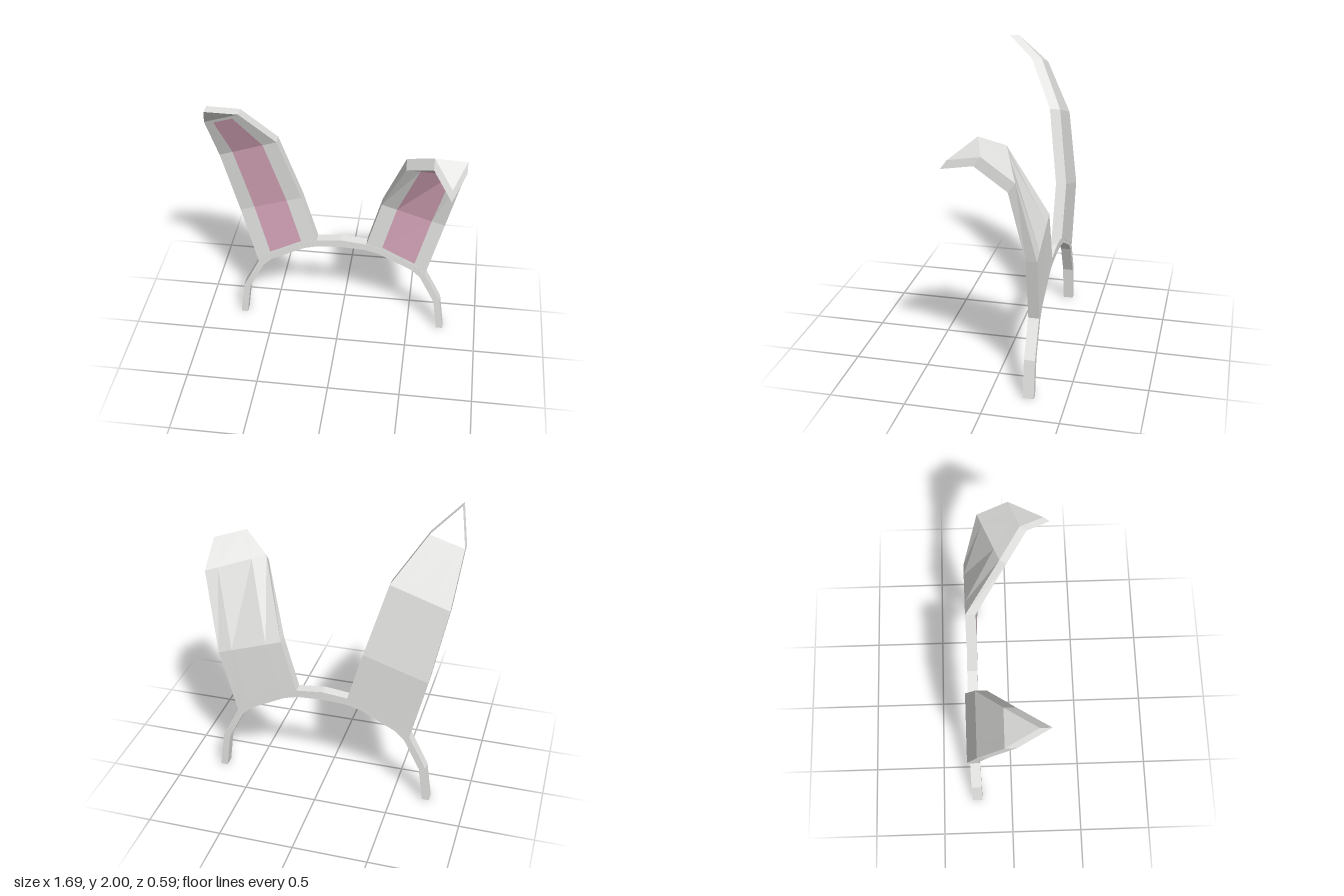
import * as THREE from 'three';

const fur = new THREE.MeshStandardMaterial({ color: 0xe4e4e2 });
fur.name = 'light grey';
const pink = new THREE.MeshStandardMaterial({ color: 0xd8a6bb });
pink.name = 'inner ear pink';
for (const m of [fur, pink]) m.flatShading = true;

// Ear: rows of [left front point, right front point, offset to the back]
function makeEar(name, rowData, columns) {
  const rows = rowData.map(([l, r, o]) => [l, r, o].map(p => new THREE.Vector3(...p)));
  // extra rows where the pink patch starts and stops
  const between = (a, b, u) => a.map((p, i) => p.clone().lerp(b[i], u));
  rows.splice(1, 0, between(rows[0], rows[1], 0.1));
  rows.splice(4, 0, between(rows[3], rows[4], 0.93));
  const front = rows.map(([l, r]) => columns.map(t => l.clone().lerp(r, t)));
  const back = rows.map(([, , o], i) => front[i].map(p => p.clone().add(o)));

  const furPoints = [], pinkPoints = [];
  const tri = (out, a, b, c) => {
    const area = b.clone().sub(a).cross(c.clone().sub(a)).length();
    if (area > 1e-7) out.push(...a.toArray(), ...b.toArray(), ...c.toArray());
  };
  const quad = (out, a, b, c, d) => { tri(out, a, b, c); tri(out, a, c, d); };

  const last = columns.length - 1, top = rows.length - 1;
  for (let i = 0; i < top; i++) {
    for (let j = 0; j < last; j++) {
      const isPink = j === 1 && i >= 1 && i <= 3;
      quad(isPink ? pinkPoints : furPoints,
        front[i][j], front[i][j + 1], front[i + 1][j + 1], front[i + 1][j]);
      quad(furPoints, back[i][j + 1], back[i][j], back[i + 1][j], back[i + 1][j + 1]);
    }
    // side walls
    quad(furPoints, back[i][0], front[i][0], front[i + 1][0], back[i + 1][0]);
    quad(furPoints, front[i][last], back[i][last], back[i + 1][last], front[i + 1][last]);
  }
  // underside
  quad(furPoints, back[0][0], back[0][last], front[0][last], front[0][0]);

  const geometry = new THREE.BufferGeometry();
  geometry.setAttribute('position', new THREE.Float32BufferAttribute([...furPoints, ...pinkPoints], 3));
  geometry.addGroup(0, furPoints.length / 3, 0);
  geometry.addGroup(furPoints.length / 3, pinkPoints.length / 3, 1);
  geometry.computeVertexNormals();
  const mesh = new THREE.Mesh(geometry, [fur, pink]);
  mesh.name = name;
  return mesh;
}

// Headband: arch outline with thickness along z
function makeBand() {
  const outer = [[0.76, 0], [0.725, 0.26], [0.605, 0.5], [0.53, 0.575], [0.285, 0.7], [0.18, 0.73]];
  const inner = [[0.712, 0], [0.68, 0.25], [0.57, 0.47], [0.508, 0.53], [0.265, 0.655], [0.17, 0.68]];
  const arch = (half, y) => [
    ...half.map(([x, h]) => new THREE.Vector2(x + 0.005, h)),
    new THREE.Vector2(0, y),
    ...half.map(([x, h]) => new THREE.Vector2(0.005 - x, h)).reverse(),
  ];
  const shape = new THREE.Shape([...arch(outer, 0.75), ...arch(inner, 0.69).reverse()]);
  const geometry = new THREE.ExtrudeGeometry(shape, { depth: 0.072, bevelEnabled: false });
  geometry.translate(0, 0, -0.29);
  const mesh = new THREE.Mesh(geometry, fur);
  mesh.name = 'headband';
  return mesh;
}

export function createModel() {
  const group = new THREE.Group();
  group.name = 'rabbit ear headband';
  const flat = [0, 0, -0.072], folded = [0, 0.06, -0.045];
  group.add(makeBand());
  // upright ear, curling forward at the tip
  group.add(makeEar('rightEar', [
    [[-0.6, 0.5, -0.22], [-0.17, 0.73, -0.22], flat],
    [[-0.71, 0.95, -0.225], [-0.275, 1.09, -0.225], flat],
    [[-0.81, 1.45, -0.148], [-0.42, 1.58, -0.148], flat],
    [[-0.85, 1.805, 0.022], [-0.625, 1.875, 0.022], flat],
    [[-0.79, 2, 0.222], [-0.79, 2, 0.222], flat],
  ], [0, 0.23, 0.76, 1]));
  // ear folded over at the top
  group.add(makeEar('leftEar', [
    [[0.185, 0.73, -0.22], [0.61, 0.5, -0.22], flat],
    [[0.285, 1.09, -0.215], [0.725, 0.945, -0.225], flat],
    [[0.45, 1.53, 0], [0.833, 1.43, -0.14], folded],
    [[0.63, 1.635, 0.135], [0.84, 1.58, 0.065], folded],
    [[0.755, 1.515, 0.295], [0.755, 1.515, 0.295], folded],
  ], [0, 0.24, 0.79, 1]));
  return group;
}
